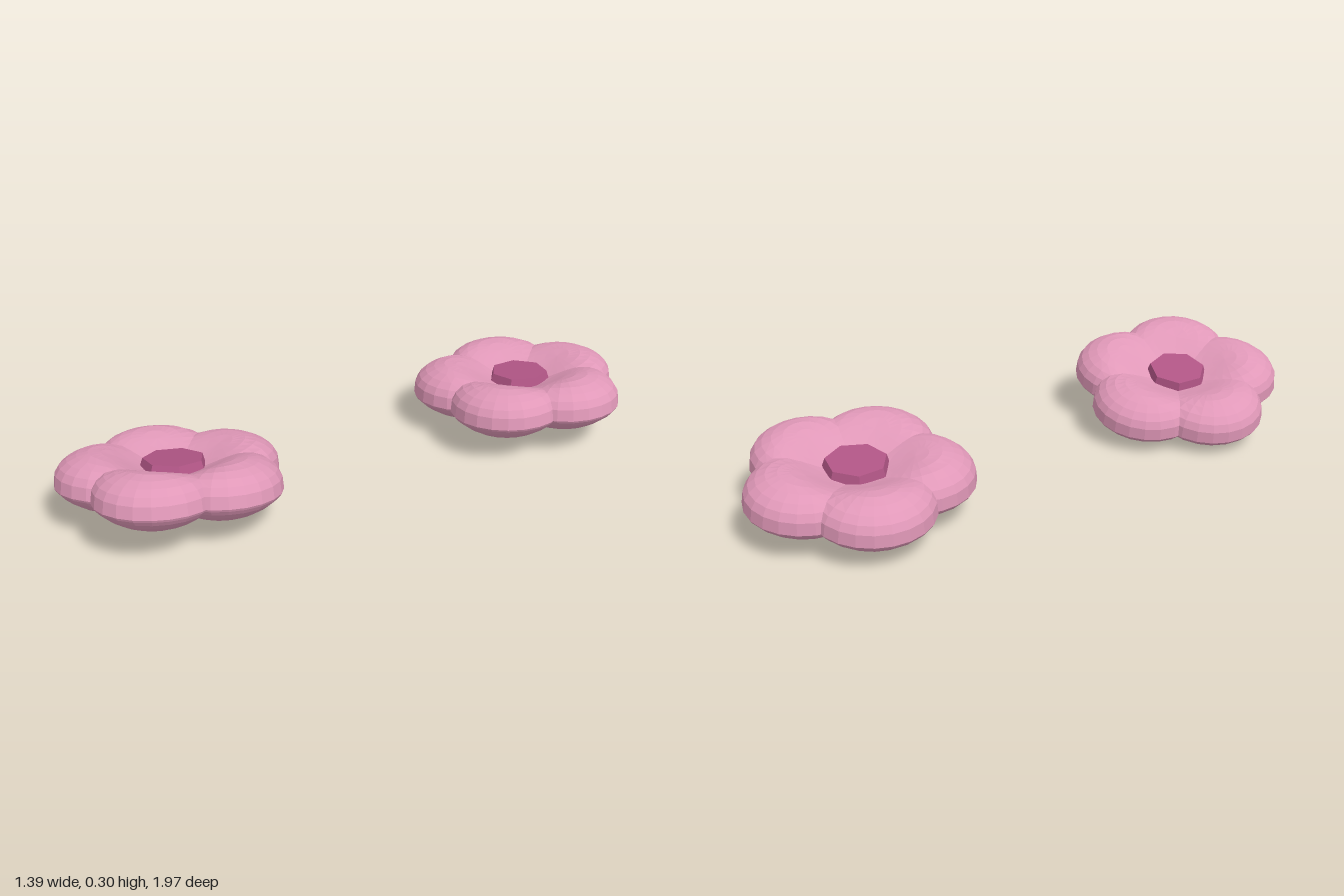
import * as THREE from 'three';

const rad = THREE.MathUtils.degToRad;

// One puffy petal along +x: rounded top that dips to the middle, bowl-shaped underside, sharp rim
function petalGeometry() {
  const centre = 0.19, radius = 0.203;
  const geo = new THREE.SphereGeometry(1, 22, 14);
  const p = geo.attributes.position;
  for (let i = 0; i < p.count; i++) {
    const x = centre + radius * p.getX(i);
    const z = radius * p.getZ(i);
    const h = p.getY(i);
    const r = Math.hypot(x, z);
    const rise = THREE.MathUtils.smoothstep(r, 0.04, 0.3);
    const y = h > 0
      ? 0.12 * Math.pow(h, 0.7) * (0.35 + 0.65 * rise)
      : -0.092 * Math.pow(-h, 1.6);
    const sink = -0.03 * (1 - THREE.MathUtils.smoothstep(r, 0, 0.18));
    p.setXYZ(i, x, y + (h > 0.3 ? 0 : sink), z);
  }
  geo.computeVertexNormals();
  return geo;
}

export function createModel() {
  const petalPink = new THREE.MeshStandardMaterial({ color: 0xe098b8, flatShading: true });
  petalPink.name = 'petalPink';
  const centreMagenta = new THREE.MeshStandardMaterial({ color: 0xb05585, flatShading: true });
  centreMagenta.name = 'centreMagenta';

  const petalGeo = petalGeometry();
  const discGeo = new THREE.CylinderGeometry(0.103, 0.122, 0.06, 7);

  // A tilted flower: slopes give its rise along x and z, turns are in degrees
  function flower(name, position, slopeX, slopeZ, turn, discTurn) {
    const group = new THREE.Group();
    group.name = name;
    group.position.set(...position);
    group.rotation.set(-Math.atan(slopeZ), 0, Math.atan(slopeX));
    for (let i = 0; i < 5; i++) {
      const petal = new THREE.Mesh(petalGeo, petalPink);
      petal.name = 'petal' + (i + 1);
      petal.rotation.y = -rad(turn + i * 72);
      group.add(petal);
    }
    const disc = new THREE.Mesh(discGeo, centreMagenta);
    disc.name = 'flowerCentre';
    disc.position.y = 0.048;
    disc.rotation.y = rad(discTurn);
    group.add(disc);
    return group;
  }

  const model = new THREE.Group();
  model.name = 'flowerPair';
  model.add(
    flower('frontFlower', [-0.32, 0.125, 0.61], 0.12, 0.19, -5, 0),
    flower('backFlower', [0.32, 0.125, -0.61], 0.08, 0.06, 4, 13),
  );
  return model;
}
